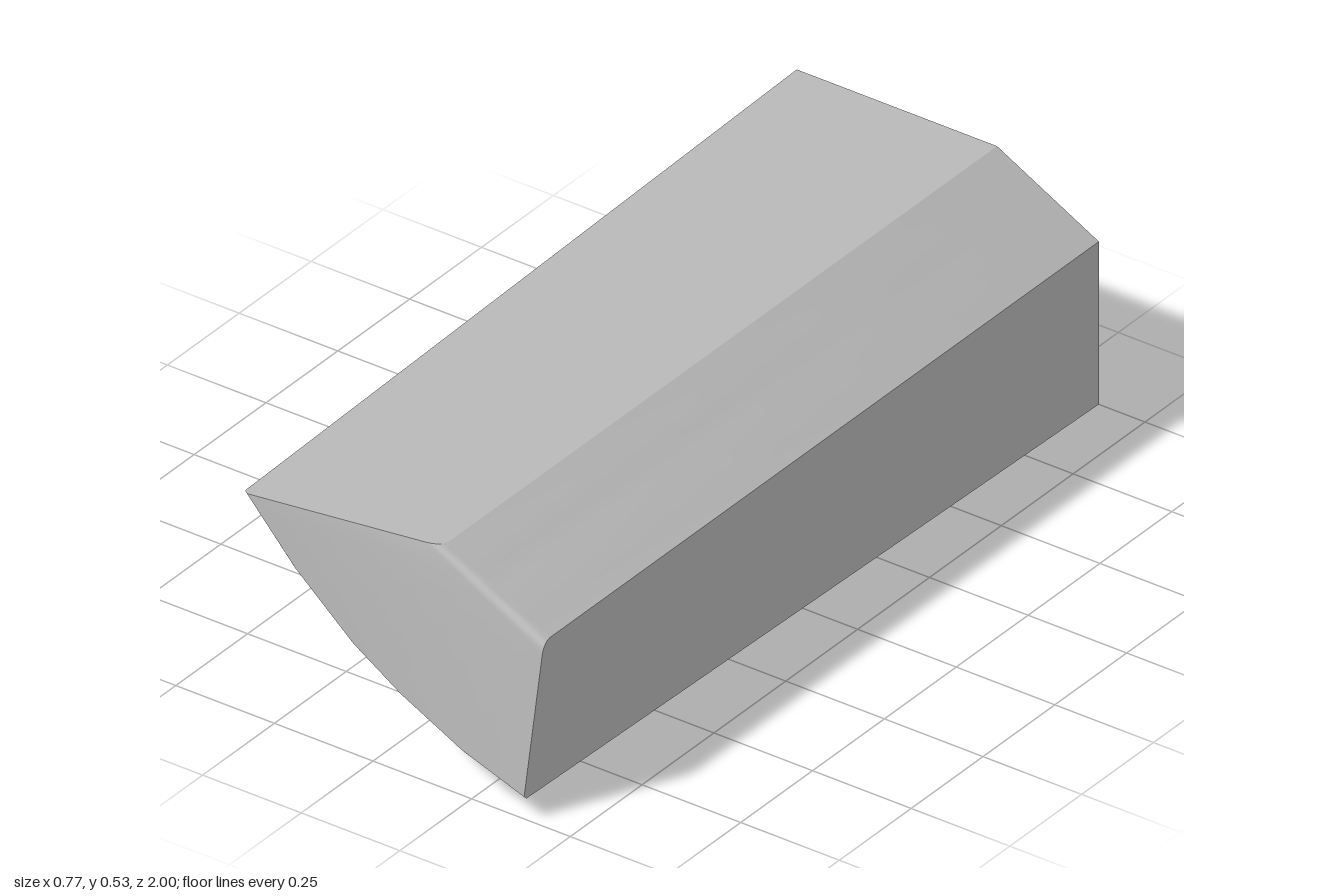
import * as THREE from 'three';
import { toCreasedNormals } from 'three/addons/utils/BufferGeometryUtils.js';

const v = (x, y, z) => new THREE.Vector3(x, y, z);

// Curved underside at the back end and at the front end
const backCurve = [[-0.383, 0.53], [-0.346, 0.476], [-0.239, 0.353], [-0.104, 0.238],
  [0.044, 0.136], [0.204, 0.062], [0.383, 0.002]];
const frontCurve = [[-0.33, 0.53], [-0.31, 0.507], [-0.206, 0.392], [-0.058, 0.263],
  [0.065, 0.183], [0.223, 0.103], [0.383, 0.047]];
const COLS = backCurve.length;

// Straight row of points from the top face across to the side wall
function edgeRow(a, b) {
  return Array.from({ length: COLS }, (_, j) => a.clone().lerp(b, j / (COLS - 1)));
}

function blockGeometry() {
  const inner = edgeRow(v(0.09, 0.53, 0.937), v(0.383, 0.365, 0.937));
  const corner = edgeRow(v(0.12, 0.53, 0.931), v(0.383, 0.391, 0.931));
  const slopeFront = edgeRow(v(0.125, 0.53, 0.91), v(0.383, 0.394, 0.91));
  const slopeBack = edgeRow(v(0.125, 0.53, -1), v(0.383, 0.394, -1));
  const lip = frontCurve.map(([x, y]) => v(x, y, 0.992));

  // Rows run along the underside, up the front and back over the slope
  const rows = [
    backCurve.map(([x, y]) => v(x, y, -1)),
    lip,
    lip.map((p, j) => p.clone().lerp(inner[j], 0.025).setZ(1)),
    inner,
  ];
  // Rounded upper front edge
  for (let k = 1; k < 5; k++) {
    rows.push(inner.map((p, j) =>
      new THREE.QuadraticBezierCurve3(p, corner[j], slopeFront[j]).getPoint(k / 5)));
  }
  rows.push(slopeFront, slopeBack);

  const pos = [];
  const tri = (...pts) => pts.forEach((p) => pos.push(p.x, p.y, p.z));
  // Closed skin; the last strip is the back end
  rows.forEach((row, i) => {
    const next = rows[(i + 1) % rows.length];
    for (let j = 0; j < COLS - 1; j++) {
      tri(row[j], row[j + 1], next[j + 1]);
      tri(row[j], next[j + 1], next[j]);
    }
  });
  // Flat top and flat side wall
  const top = rows.map((r) => r[0]);
  const side = rows.map((r) => r[COLS - 1]).reverse();
  for (const ring of [top, side]) {
    for (let i = 1; i < ring.length - 1; i++) tri(ring[0], ring[i], ring[i + 1]);
  }

  const geometry = new THREE.BufferGeometry();
  geometry.setAttribute('position', new THREE.Float32BufferAttribute(pos, 3));
  return toCreasedNormals(geometry, 0.42);
}

export function createModel() {
  const grey = new THREE.MeshStandardMaterial({ color: 0xb8b8b8 });
  grey.name = 'grey';
  const block = new THREE.Mesh(blockGeometry(), grey);
  block.name = 'taperedBlock';
  const group = new THREE.Group();
  group.name = 'taperedWedge';
  group.add(block);
  return group;
}
